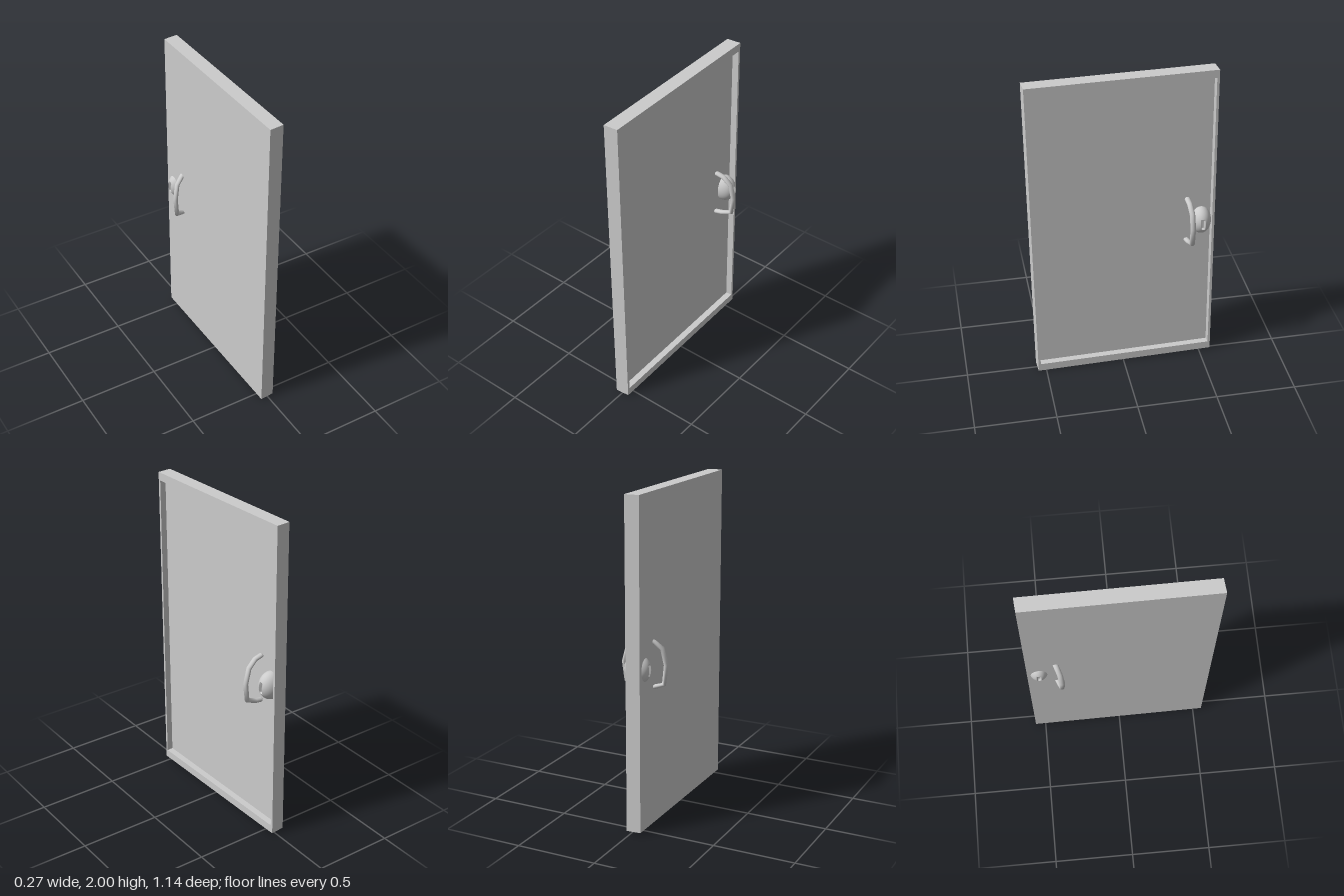
import * as THREE from 'three';

const material = new THREE.MeshStandardMaterial({ color: 0xcccccc });

function addMesh(parent, geometry, name) {
  const mesh = new THREE.Mesh(geometry, material);
  mesh.name = name;
  parent.add(mesh);
  return mesh;
}

// Door leaf: a plain back slab with a raised rim on the +x side, slightly askew
function makeDoor() {
  const door = new THREE.Group();
  door.name = 'door';
  const width = 1.122, height = 1.988, slab = 0.047, rimDepth = 0.04;
  const sideRim = 0.015, endRim = 0.05;
  const skew = new THREE.Matrix4().set(
    1, 0, 0.0135, -0.009,
    0, 1, -0.0107, 1,
    -0.085, 0.0077, 1, 0,
    0, 0, 0, 1
  );

  const back = new THREE.BoxGeometry(slab, height, width);
  back.translate(-rimDepth / 2, 0, 0).applyMatrix4(skew);
  addMesh(door, back, 'doorPanel');

  const rect = (path, w, h) => {
    path.moveTo(-w, -h);
    path.lineTo(w, -h);
    path.lineTo(w, h);
    path.lineTo(-w, h);
    path.closePath();
    return path;
  };
  const shape = rect(new THREE.Shape(), width / 2, height / 2);
  shape.holes.push(rect(new THREE.Path(), width / 2 - sideRim, height / 2 - endRim));
  const rim = new THREE.ExtrudeGeometry(shape, { depth: rimDepth, bevelEnabled: false });
  rim.rotateY(Math.PI / 2).translate((slab - rimDepth) / 2, 0, 0).applyMatrix4(skew);
  addMesh(door, rim, 'doorRim');
  return door;
}

// Egg-shaped knob through the door, with a keyhole slot pressed into both ends
function makeKnob() {
  const geometry = new THREE.SphereGeometry(1, 96, 64);
  geometry.rotateY(Math.PI / 2).scale(0.081, 0.088, 0.063);
  const p = geometry.attributes.position;
  for (let i = 0; i < p.count; i++) {
    if (Math.abs(p.getZ(i)) < 0.0095 && Math.abs(p.getY(i)) < 0.031) {
      p.setX(i, Math.sign(p.getX(i)) * 0.062);
    }
  }
  geometry.computeVertexNormals();
  geometry.translate(-0.01, 0.99, -0.486);
  return geometry;
}

// Bowed pull handle: one tube ring at each bend, rounded ends, oval section
function makeHandle(name, points) {
  const handle = new THREE.Group();
  handle.name = name;
  const radius = 0.0135, stretch = 1.25;
  const path = points.map(([x, y, z]) => new THREE.Vector3(x, y, z / stretch));
  const curve = new THREE.CatmullRomCurve3(path);
  curve.getPointAt = curve.getPoint;
  curve.getTangentAt = curve.getTangent;
  const tube = new THREE.TubeGeometry(curve, path.length - 1, radius, 16);
  addMesh(handle, tube.scale(1, 1, stretch), name + 'Bow');
  for (const end of [path[0], path[path.length - 1]]) {
    const cap = new THREE.SphereGeometry(radius, 16, 12);
    cap.translate(end.x, end.y, end.z).scale(1, 1, stretch);
    addMesh(handle, cap, name + 'End');
  }
  return handle;
}

export function createModel() {
  const model = new THREE.Group();
  model.name = 'doorWithHandles';
  model.add(makeDoor());
  addMesh(model, makeKnob(), 'knob');
  model.add(makeHandle('leftHandle', [
    [0.0, 1.146, -0.398], [0.045, 1.137, -0.402], [0.093, 1.095, -0.408],
    [0.118, 1.0, -0.411], [0.105, 0.89, -0.41], [0.04, 0.863, -0.404], [0.0, 0.856, -0.399],
  ]));
  model.add(makeHandle('rightHandle', [
    [-0.035, 1.14, -0.388], [-0.06, 1.128, -0.378], [-0.103, 1.09, -0.36],
    [-0.123, 0.99, -0.35], [-0.111, 0.873, -0.356], [-0.06, 0.858, -0.376], [-0.035, 0.853, -0.387],
  ]));
  return model;
}
